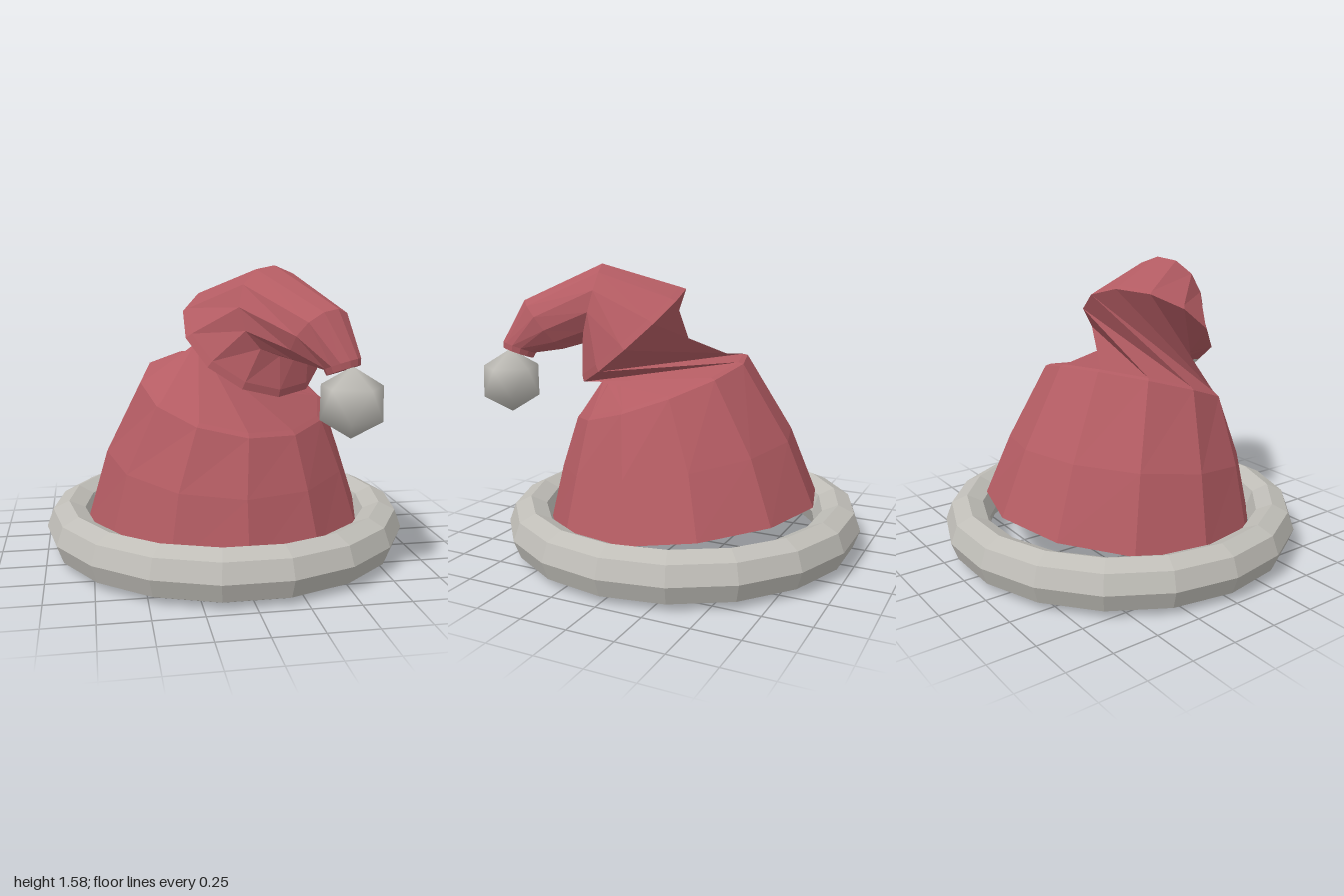
import * as THREE from 'three';

const SIDES = 12;
const V = (x, y, z) => new THREE.Vector3(x, y, z);

// Faceted shading: every face keeps its own normal
function faceted(geometry) {
  const g = geometry.index ? geometry.toNonIndexed() : geometry;
  g.computeVertexNormals();
  return g;
}

// Tilted rings [centre, axis, radius, twist]; each frame is carried over from the ring before
function ringPoints(rings) {
  const axis = V(0, 1, 0);
  const u = V(1, 0, 0);
  const turn = new THREE.Quaternion();
  return rings.map(([c, n, r, twist = 0]) => {
    const next = V(...n).normalize();
    u.applyQuaternion(turn.setFromUnitVectors(axis, next));
    axis.copy(next);
    const v = axis.clone().cross(u);
    return Array.from({ length: SIDES }, (_, j) => {
      const a = (j / SIDES) * Math.PI * 2 + twist;
      return V(...c).addScaledVector(u, r * Math.cos(a)).addScaledVector(v, r * Math.sin(a));
    });
  });
}

// Skin a list of rings and close both ends
function loft(rings) {
  const pts = ringPoints(rings);
  const pos = [];
  const tri = (...p) => p.forEach((q) => pos.push(q.x, q.y, q.z));
  const first = V(...rings[0][0]);
  const last = V(...rings[rings.length - 1][0]);
  for (let j = 0; j < SIDES; j++) {
    const k = (j + 1) % SIDES;
    for (let i = 0; i < pts.length - 1; i++) {
      tri(pts[i][j], pts[i][k], pts[i + 1][k]);
      tri(pts[i][j], pts[i + 1][k], pts[i + 1][j]);
    }
    tri(first, pts[0][k], pts[0][j]);
    tri(last, pts[pts.length - 1][j], pts[pts.length - 1][k]);
  }
  const g = new THREE.BufferGeometry();
  g.setAttribute('position', new THREE.Float32BufferAttribute(pos, 3));
  return faceted(g);
}

export function createModel() {
  const red = new THREE.MeshStandardMaterial({ color: 0xb45c63 });
  red.name = 'red felt';
  const white = new THREE.MeshStandardMaterial({ color: 0xc0beb8 });
  white.name = 'pale fur';

  const group = new THREE.Group();
  group.name = 'floppyHat';
  const add = (name, geometry, material) => {
    const mesh = new THREE.Mesh(geometry, material);
    mesh.name = name;
    group.add(mesh);
    return mesh;
  };

  // Fur brim, a little taller than it is wide
  const brim = new THREE.TorusGeometry(0.876, 0.124, 8, 18).rotateX(-Math.PI / 2).scale(1, 1.12, 1);
  add('furBrim', faceted(brim), white).position.y = 0.142;

  // Cone wrung into a twisted neck, flared to a rim, then drooping forward to the tip
  const t = -2.3;
  add('hatCone', loft([
    [[0, 0.2, 0], [-0.03, 1, 0.13], 0.77],
    [[0, 0.55, 0.04], [0.03, 1, 0.15], 0.66],
    [[0.03, 0.9, 0.12], [0.13, 1, 0.33], 0.51],
    [[0.03, 0.915, 0.125], [0.13, 1, 0.33], 0.485],
    [[0.1, 1.19, 0.265], [0.3, 0.76, 0.6], 0.39, t],
    [[0.11, 1.215, 0.285], [0.3, 0.76, 0.6], 0.37, t],
    [[0.19, 1.36, 0.47], [0.4, 0.25, 0.87], 0.23, t],
    [[0.35, 1.25, 0.69], [0.42, -0.6, 0.7], 0.17, t],
    [[0.43, 1.13, 0.8], [0.25, -0.93, 0.25], 0.092, t],
    [[0.435, 1.1, 0.805], [0.25, -0.93, 0.25], 0.085, t],
  ]), red);

  // Pompom: low-poly ball with smooth normals, one corner straight up
  const ball = new THREE.IcosahedronGeometry(0.174, 0).rotateZ(-Math.atan(2 / (1 + Math.sqrt(5))));
  const p = ball.attributes.position;
  for (let i = 0; i < p.count; i++) {
    const n = V().fromBufferAttribute(p, i).normalize();
    ball.attributes.normal.setXYZ(i, n.x, n.y, n.z);
  }
  add('pompom', ball, white).position.set(0.47, 0.95, 0.835);

  return group;
}
